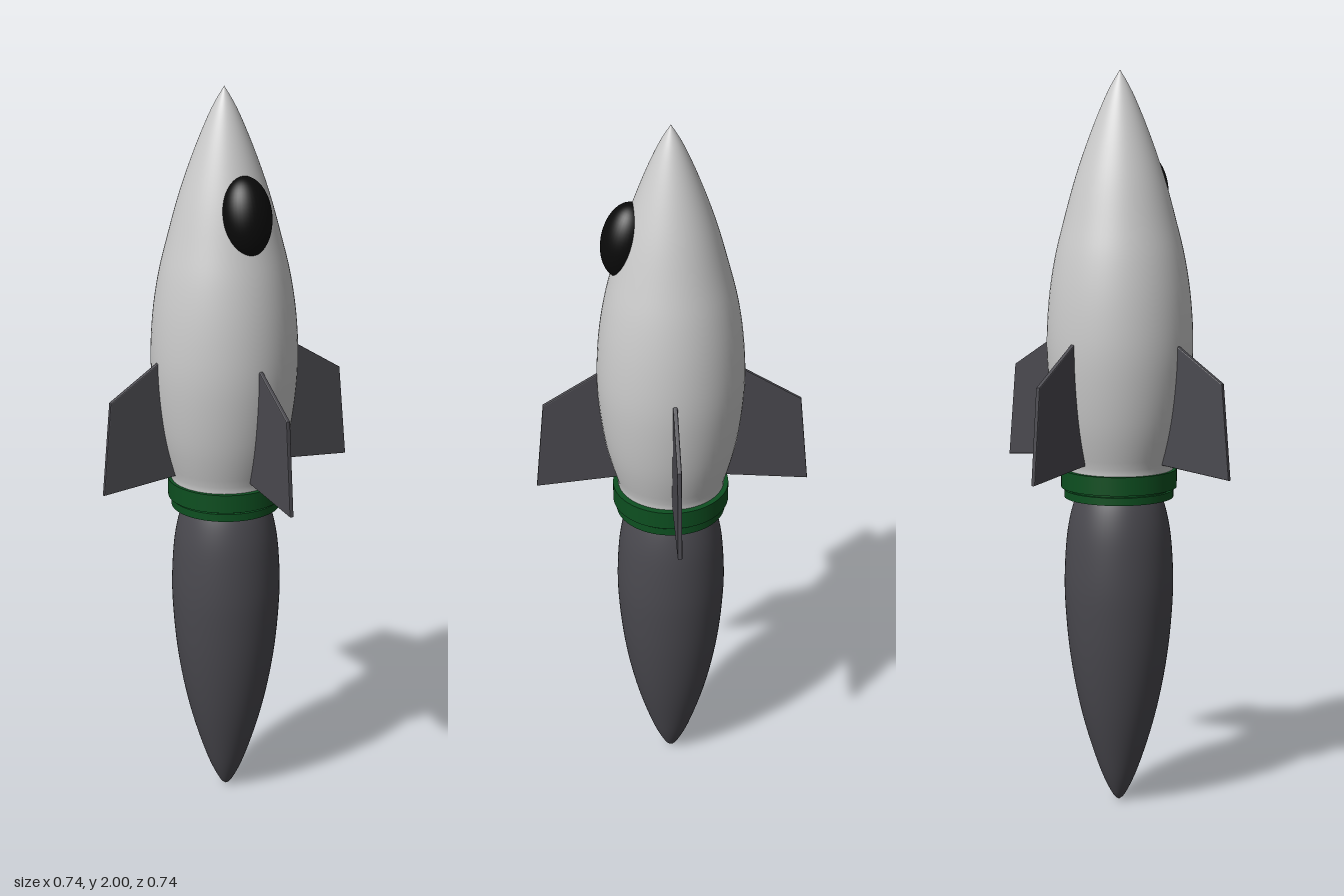
import * as THREE from 'three';

const paint = (color) => new THREE.MeshStandardMaterial({ color });

// Revolved part with a smooth profile through a few [radius, height] points
function spun(name, points, material) {
  const curve = new THREE.SplineCurve(points.map(([r, y]) => new THREE.Vector2(r, y)));
  const profile = curve.getPoints(48).map((p) => new THREE.Vector2(Math.max(p.x, 0), p.y));
  const mesh = new THREE.Mesh(new THREE.LatheGeometry(profile, 64), material);
  mesh.name = name;
  return mesh;
}

// Flat ring between two heights, open in the middle
function ring(name, outer, inner, y0, y1, material) {
  const corners = [[inner, y0], [outer, y0], [outer, y1], [inner, y1]];
  const group = new THREE.Group();
  group.name = name;
  for (let i = 0; i < 3; i++) {
    const side = [corners[i], corners[i + 1]].map(([r, y]) => new THREE.Vector2(r, y));
    group.add(new THREE.Mesh(new THREE.LatheGeometry(side, 64), material));
  }
  return group;
}

export function createModel() {
  const model = new THREE.Group();
  model.name = 'rocket';
  const grey = paint(0xcccccc);
  const dark = paint(0x4a494f);
  const green = paint(0x0d4f20);
  const black = paint(0x0a0a0a);

  // Pointed hull
  const hull = spun('hull', [
    [0, 0.91], [0.13, 0.91], [0.146, 0.95], [0.173, 1.05], [0.19, 1.16], [0.197, 1.27],
    [0.191, 1.39], [0.175, 1.5], [0.151, 1.6], [0.118, 1.72], [0.076, 1.84], [0.034, 1.94], [0, 2],
  ], grey);
  hull.position.set(-0.009, 0, 0.003);
  model.add(hull);

  // Tapered tail and the collar above it
  const tail = new THREE.Group();
  tail.name = 'tailSection';
  tail.position.set(-0.005, 0, 0.004);
  tail.add(spun('tailCone', [
    [0, 0], [0.018, 0.018], [0.05, 0.085], [0.088, 0.2], [0.115, 0.31], [0.135, 0.43],
    [0.146, 0.55], [0.148, 0.64], [0.142, 0.74], [0.13, 0.81], [0.112, 0.865], [0.09, 0.9],
  ], dark));
  tail.add(ring('upperCollar', 0.157, 0.09, 0.882, 0.932, green));
  tail.add(ring('collarGroove', 0.14, 0.09, 0.872, 0.886, green));
  tail.add(ring('lowerCollar', 0.148, 0.09, 0.854, 0.875, green));
  model.add(tail);

  // Bulging oval window, leaning with the hull
  const porthole = new THREE.Mesh(new THREE.SphereGeometry(1, 40, 28), black);
  porthole.name = 'window';
  porthole.scale.set(0.067, 0.105, 0.063);
  porthole.rotation.x = -0.2;
  porthole.position.set(-0.006, 1.68, 0.12);
  model.add(porthole);

  // Four swept fins
  const outline = new THREE.Shape([
    [0.1, 0.96], [0.368, 0.935], [0.345, 1.19], [0.18, 1.295], [0.1, 1.295],
  ].map(([x, y]) => new THREE.Vector2(x, y)));
  const finGeometry = new THREE.ExtrudeGeometry(outline, {
    depth: 0.006, bevelThickness: 0.003, bevelSize: 0.003, bevelOffset: -0.003, bevelSegments: 2,
  });
  finGeometry.translate(0, 0, 0.002);
  for (let i = 0; i < 4; i++) {
    const fin = new THREE.Mesh(finGeometry, dark);
    fin.name = `fin${i + 1}`;
    fin.rotation.y = (i * Math.PI) / 2;
    model.add(fin);
  }
  return model;
}
